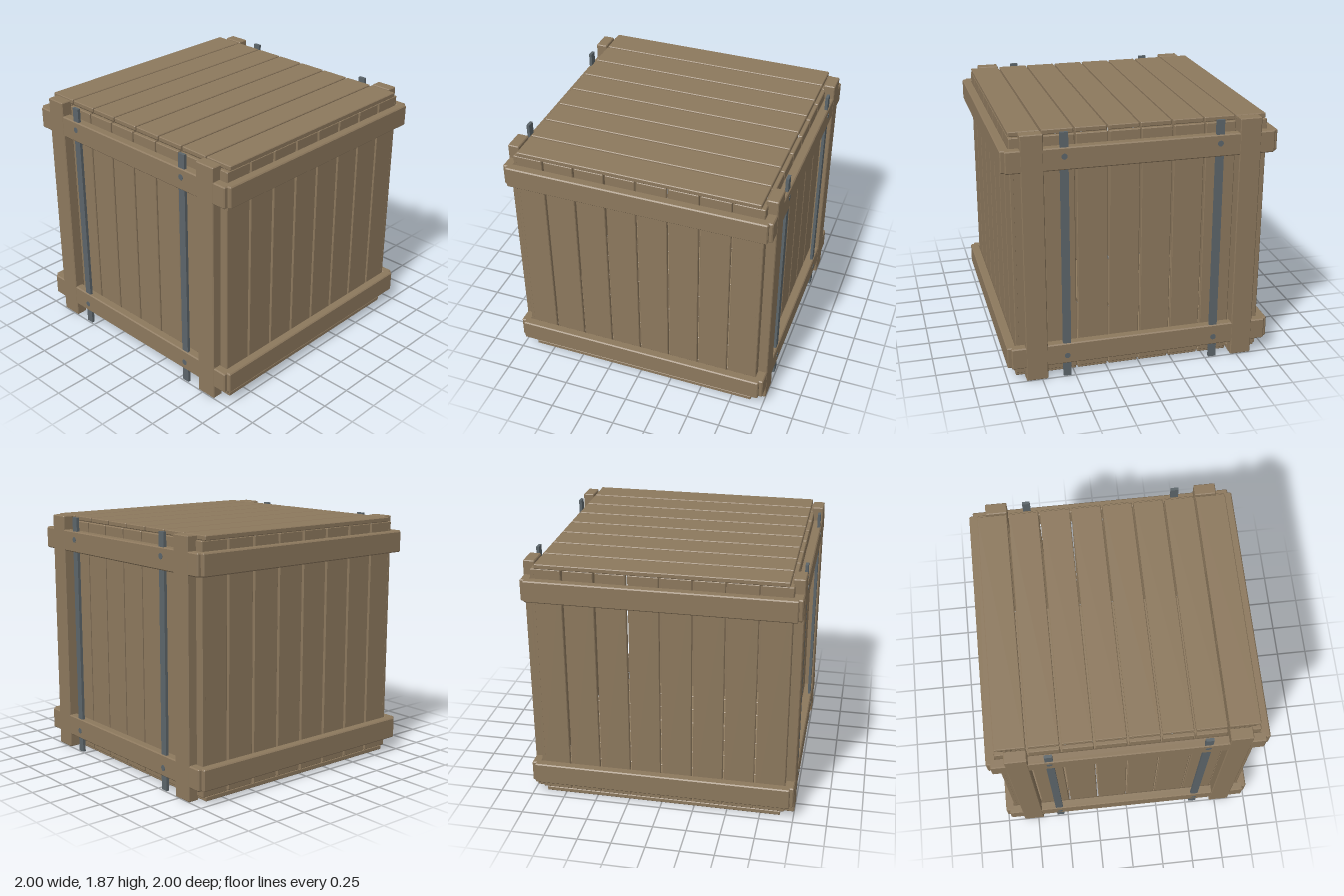
import * as THREE from 'three';
import { ConvexGeometry } from 'three/addons/geometries/ConvexGeometry.js';

// Box with small flat chamfers on every edge
function chamferBox(w, h, d, c) {
  const half = [w / 2, h / 2, d / 2];
  const points = [];
  for (const sx of [-1, 1]) for (const sy of [-1, 1]) for (const sz of [-1, 1]) {
    for (let axis = 0; axis < 3; axis++) {
      const p = half.map((v, i) => (i === axis ? v : v - c));
      points.push(new THREE.Vector3(p[0] * sx, p[1] * sy, p[2] * sz));
    }
  }
  return new ConvexGeometry(points);
}

export function createModel() {
  const crate = new THREE.Group();
  crate.name = 'crate';
  const wood = new THREE.MeshStandardMaterial({ color: 0x8c785d });
  wood.name = 'wood';
  const steel = new THREE.MeshStandardMaterial({ color: 0x5c656a });
  steel.name = 'steel';

  const height = 1.87, mid = height / 2;
  const count = 8, pitch = 0.234, plankWidth = 0.221;

  function add(name, geometry, material, x, y, z) {
    const mesh = new THREE.Mesh(geometry, material);
    mesh.name = name;
    mesh.position.set(x, y, z);
    crate.add(mesh);
    return mesh;
  }

  // Planks of all six walls
  const lidPlank = chamferBox(plankWidth, 0.035, 1.8, 0.005);
  const endPlank = chamferBox(plankWidth, 1.8, 0.03, 0.005);
  const sidePlank = chamferBox(0.03, 1.8, plankWidth, 0.005);
  for (let i = 0; i < count; i++) {
    const t = (i - (count - 1) / 2) * pitch;
    for (const s of [-1, 1]) {
      add(s > 0 ? 'lidPlank' : 'floorPlank', lidPlank, wood, t, mid + s * (mid - 0.0185), 0);
      add(s > 0 ? 'frontPlank' : 'backPlank', endPlank, wood, t, mid, s * 0.914);
      add(s > 0 ? 'leftPlank' : 'rightPlank', sidePlank, wood, s * 0.914, mid, t);
    }
  }

  // Rails running round the crate near top and bottom
  const endRail = chamferBox(1.94, 0.162, 0.07, 0.008);
  const sideRail = chamferBox(0.07, 0.162, 1.94, 0.008);
  for (const y of [0.187, height - 0.187]) {
    for (const s of [-1, 1]) {
      add('endRail', endRail, wood, 0, y, s * 0.963);
      add('sideRail', sideRail, wood, s * 0.963, y, 0);
    }
  }

  // Posts, straps and bolts on the front and back
  const post = chamferBox(0.16, height, 0.086, 0.006);
  const strap = new THREE.BoxGeometry(0.058, height, 0.022);
  const bolt = new THREE.CylinderGeometry(0.022, 0.022, 0.006, 12).rotateX(Math.PI / 2);
  for (const sz of [-1, 1]) for (const sx of [-1, 1]) {
    add('post', post, wood, sx * 0.785, mid, sz * 0.957);
    add('strap', strap, steel, sx * 0.56, mid, sz * 0.98);
    for (const y of [0.17, height - 0.17]) add('bolt', bolt, steel, sx * 0.56, y, sz * 0.997);
  }
  return crate;
}
